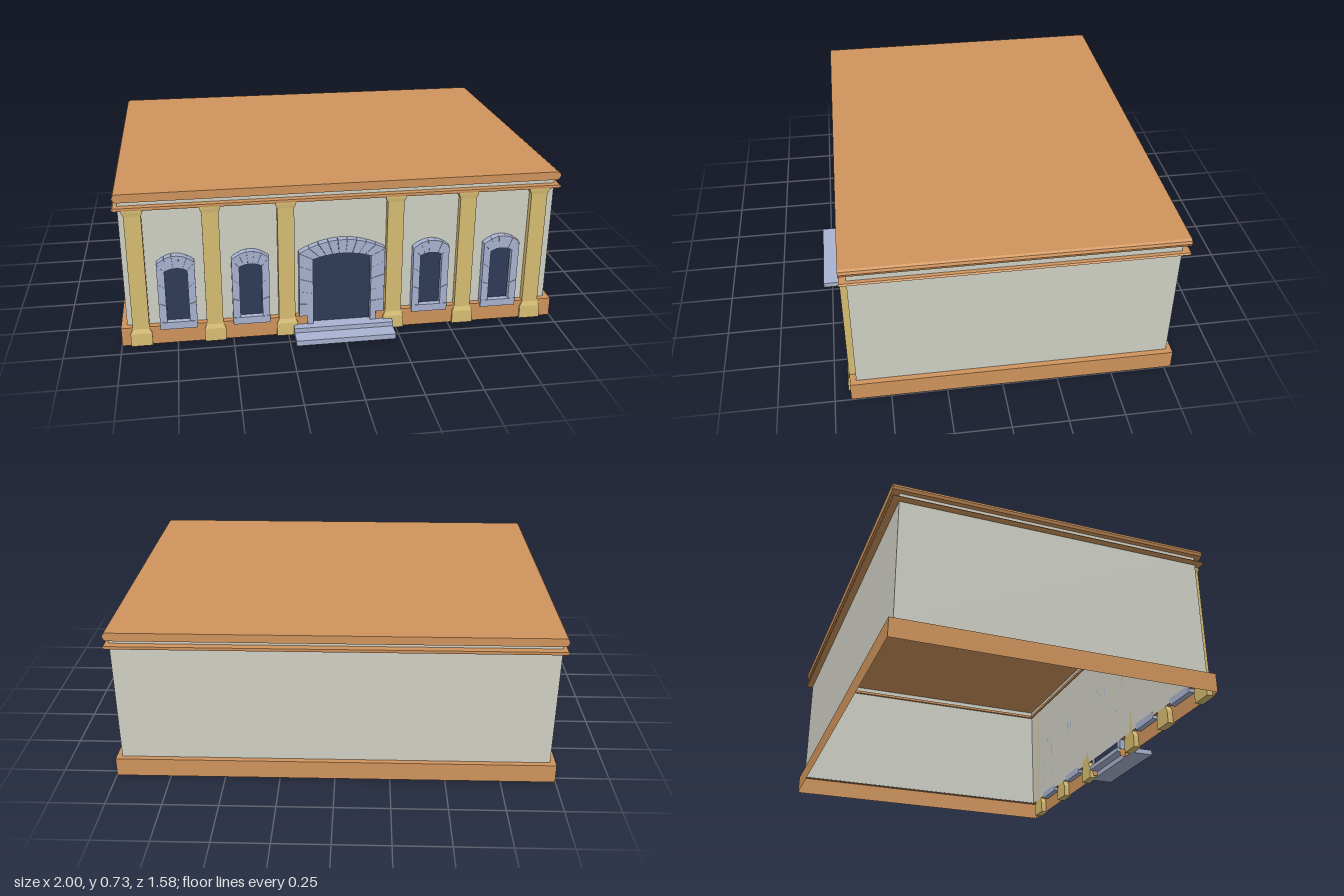
import * as THREE from 'three';

const mat = (color) => new THREE.MeshStandardMaterial({ color, side: THREE.DoubleSide, flatShading: true });
const ORANGE = mat(0xcf945c), WALL = mat(0xcfd0c5), YELLOW = mat(0xd6bc72);
const STONE = mat(0xa9b3d1), GLASS = mat(0x2e3a57);

function add(parent, name, geometry, material, x = 0, y = 0, z = 0) {
  const mesh = new THREE.Mesh(geometry, material);
  mesh.name = name;
  mesh.position.set(x, y, z);
  parent.add(mesh);
  return mesh;
}

// Flat-faced skin through rings of [x, y, z] points
function loft(rings, closed = true) {
  const pos = [];
  for (let r = 0; r < rings.length - 1; r++) {
    const a = rings[r], b = rings[r + 1], n = a.length;
    for (let i = 0; i < (closed ? n : n - 1); i++) {
      const j = (i + 1) % n;
      pos.push(...a[i], ...a[j], ...b[j], ...a[i], ...b[j], ...b[i]);
    }
  }
  const g = new THREE.BufferGeometry();
  g.setAttribute('position', new THREE.Float32BufferAttribute(pos, 3));
  g.computeVertexNormals();
  return g;
}

// Rectangular ring, counter-clockwise seen from above
const rect = (hw, y, front, back) => [[-hw, y, front], [hw, y, front], [hw, y, back], [-hw, y, back]];

function extrude(points, depth) {
  const shape = new THREE.Shape(points.map(([x, y]) => new THREE.Vector2(x, y)));
  return new THREE.ExtrudeGeometry(shape, { depth, bevelEnabled: false });
}

const WALL_Z = 0.65;
const FRAME_DEPTH = 0.034;

// Pilaster with a wider plinth and a small flared capital
function pilaster(x) {
  const geometry = loft([
    rect(0.001, 0, 0.651, 0.65), rect(0.048, 0, 0.69, 0.65), rect(0.048, 0.06, 0.687, 0.65),
    rect(0.037, 0.08, 0.68, 0.65), rect(0.037, 0.625, 0.68, 0.65),
    rect(0.045, 0.642, 0.682, 0.65), rect(0.045, 0.652, 0.682, 0.65),
  ]);
  const mesh = new THREE.Mesh(geometry, YELLOW);
  mesh.name = 'pilaster';
  mesh.position.x = x;
  return mesh;
}

// Arched opening: dark pane, leg stones and wedge stones over the top
function opening(name, x, o) {
  const group = new THREE.Group();
  group.name = name;
  group.position.set(x, 0, WALL_Z);
  const outer = (t) => [t * o.outW, o.outSpring + (o.outTop - o.outSpring) * (1 - t * t)];
  const inner = (t) => [t * o.inW, o.inSpring + (o.inTop - o.inSpring) * (1 - t * t)];
  const span = (f, a, b) => [0, 1, 2, 3].map((k) => f(a + ((b - a) * k) / 3));

  add(group, 'pane', extrude([[-o.inW, o.paneY], [o.inW, o.paneY], ...span(inner, 1, -1)], 0.006), GLASS, 0, 0, 0.003);

  // Wedge stones
  const gap = 0.008;
  for (let i = 0; i < o.wedges; i++) {
    const a = -1 + (2 * i) / o.wedges + (i ? gap : 0), b = -1 + (2 * (i + 1)) / o.wedges;
    add(group, 'archStone', extrude([...span(inner, a, b), ...span(outer, b, a)], FRAME_DEPTH - (i % 2) * 0.001), STONE);
  }
  // Leg stones
  for (const s of [-1, 1]) {
    for (let i = 0; i < o.legs; i++) {
      const at = (top, k) => o.legY + ((top - o.legY) * k) / o.legs;
      add(group, 'legStone', extrude([
        [s * o.inW, at(o.inSpring, i)], [s * o.outW, at(o.outSpring, i)],
        [s * o.outW, at(o.outSpring, i + 1) - 0.001], [s * o.inW, at(o.inSpring, i + 1) - 0.001],
      ], FRAME_DEPTH - (i % 2) * 0.001), STONE);
    }
  }
  return group;
}

export function createModel() {
  const model = new THREE.Group();

  // Hollow wall shell, with a gap in the foot of the front for the door
  add(model, 'walls', loft([rect(0.972, 0.085, WALL_Z, -0.757), rect(0.972, 0.692, WALL_Z, -0.757)]), WALL);

  // Thin plinth skirt running round from one door jamb to the other
  const skirt = (w, y, front, back) => [
    [0.157, y, WALL_Z], [0.157, y, front], [w, y, front], [w, y, back],
    [-w, y, back], [-w, y, front], [-0.157, y, front], [-0.157, y, WALL_Z],
  ];
  add(model, 'plinth', loft([
    skirt(0.998, 0, 0.678, -0.782), skirt(0.998, 0.088, 0.678, -0.782), skirt(0.97, 0.088, WALL_Z, -0.757),
  ], false), ORANGE);

  // Ledge moulding under the roof
  add(model, 'ledge', loft([
    rect(0.96, 0.65, 0.64, -0.747), rect(0.985, 0.65, 0.681, -0.789), rect(0.996, 0.657, 0.682, -0.79),
    rect(0.99, 0.664, 0.681, -0.79), rect(0.96, 0.664, 0.64, -0.747), rect(0.96, 0.65, 0.64, -0.747),
  ]), ORANGE);

  // Roof slab with rounded long edges
  const half = [[0.975, 0.69], [0.985, 0.697], [0.99, 0.71], [0.985, 0.722], [0.975, 0.728]];
  const roofProfile = [...half, ...half.map(([x, y]) => [-x, y]).reverse()];
  add(model, 'roof', extrude(roofProfile, 1.472), ORANGE, 0, 0, -0.79);

  for (const x of [-0.91, -0.581, -0.254, 0.237, 0.567, 0.896]) model.add(pilaster(x));

  // Windows
  for (const x of [-0.742, -0.415, 0.407, 0.737]) {
    const win = opening('window', x, {
      outW: 0.083, outSpring: 0.395, outTop: 0.43, inW: 0.05, inSpring: 0.357, inTop: 0.37,
      paneY: 0.1, legY: 0.107, wedges: 5, legs: 3,
    });
    add(win, 'sill', new THREE.BoxGeometry(0.166, 0.034, FRAME_DEPTH + 0.002), STONE, 0, 0.089, FRAME_DEPTH / 2);
    model.add(win);
  }

  // Door, with narrow feet standing between the ends of the plinth
  const door = opening('door', -0.003, {
    outW: 0.195, outSpring: 0.405, outTop: 0.46, inW: 0.132, inSpring: 0.372, inTop: 0.394,
    paneY: 0.04, legY: 0.089, wedges: 9, legs: 5,
  });
  for (const s of [-1, 1]) {
    add(door, 'doorFoot', new THREE.BoxGeometry(0.026, 0.05, FRAME_DEPTH), STONE, s * 0.145, 0.064, FRAME_DEPTH / 2);
  }
  model.add(door);

  // Steps
  add(model, 'lowerStep', new THREE.BoxGeometry(0.455, 0.025, 0.112), STONE, 0.002, 0.0125, 0.737);
  add(model, 'upperStep', new THREE.BoxGeometry(0.455, 0.022, 0.04), STONE, 0.002, 0.036, 0.7);
  add(model, 'doorLanding', new THREE.BoxGeometry(0.31, 0.022, 0.05), STONE, 0, 0.036, 0.66);

  return model;
}
